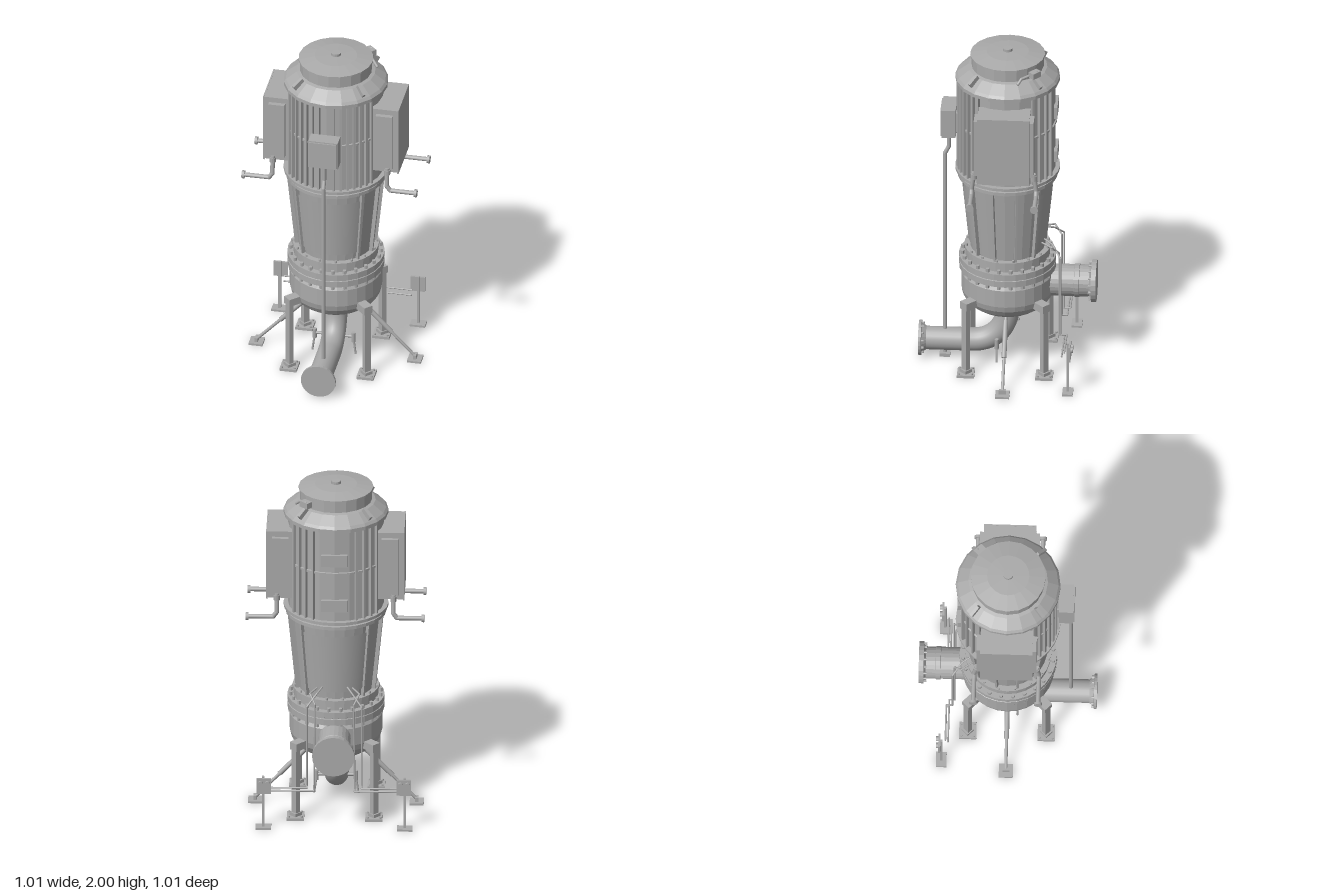
import * as THREE from 'three';

const steel = new THREE.MeshStandardMaterial({ color: 0xaaaaaa, flatShading: true });
steel.name = 'grey steel';
const smoothSteel = new THREE.MeshStandardMaterial({ color: 0xaaaaaa, side: THREE.DoubleSide });
smoothSteel.name = 'grey steel smooth';

const V = (x, y, z) => new THREE.Vector3(x, y, z);

export function createModel() {
  const root = new THREE.Group();
  root.name = 'verticalPumpUnit';

  function add(name, geo, x = 0, y = 0, z = 0, parent = root, mat = steel) {
    const m = new THREE.Mesh(geo, mat);
    m.name = name;
    m.position.set(x, y, z);
    parent.add(m);
    return m;
  }
  function group(name) {
    const g = new THREE.Group();
    g.name = name;
    root.add(g);
    return g;
  }
  const box = (name, w, h, d, x, y, z, p) => add(name, new THREE.BoxGeometry(w, h, d), x, y, z, p);
  const lathe = (name, pts, seg = 28, p = root) =>
    add(name, new THREE.LatheGeometry(pts.map(q => new THREE.Vector2(q[0], q[1])), seg), 0, 0, 0, p);

  // Round bar between two points
  function rod(name, a, b, r, p = root, seg = 10) {
    const m = add(name, new THREE.CylinderGeometry(r, r, a.distanceTo(b), seg), 0, 0, 0, p, smoothSteel);
    m.position.copy(a).add(b).multiplyScalar(0.5);
    m.quaternion.setFromUnitVectors(V(0, 1, 0), b.clone().sub(a).normalize());
    return m;
  }
  // Polyline pipe with ball joints at the bends
  function pipe(name, pts, r, p = root) {
    const g = new THREE.Group();
    g.name = name;
    p.add(g);
    for (let i = 1; i < pts.length; i++) {
      rod('pipeRun', pts[i - 1], pts[i], r, g);
      if (i < pts.length - 1) add('pipeBend', new THREE.SphereGeometry(r, 10, 8), ...pts[i].toArray(), g, smoothSteel);
    }
  }
  // Ring of bolts around the vertical axis
  function boltRing(name, n, radius, y, r, h) {
    const g = group(name);
    for (let i = 0; i < n; i++) {
      const a = ((i + 0.5) / n) * Math.PI * 2;
      add('bolt', new THREE.CylinderGeometry(r, r, h, 6), Math.sin(a) * radius, y, Math.cos(a) * radius, g);
    }
  }

  // Pump casing and main flange
  lathe('pumpBowl', [[0, 0.315], [0.08, 0.32], [0.14, 0.335], [0.19, 0.36], [0.23, 0.39], [0.253, 0.425], [0.262, 0.46], [0.262, 0.565], [0.25, 0.585], [0.25, 0.6]]);
  lathe('mainFlange', [[0.2, 0.597], [0.275, 0.597], [0.275, 0.634], [0.271, 0.636], [0.271, 0.642], [0.275, 0.644], [0.275, 0.677], [0.2, 0.677]]);
  boltRing('upperFlangeBolts', 24, 0.257, 0.685, 0.011, 0.026);
  boltRing('lowerFlangeBolts', 24, 0.26, 0.588, 0.011, 0.024);
  lathe('neck', [[0.24, 0.67], [0.24, 0.718], [0.245, 0.718], [0.245, 0.736], [0.2, 0.736]]);
  boltRing('neckBolts', 16, 0.234, 0.742, 0.007, 0.016);

  // Tapered lantern with ribs and curved covers
  const coneR = y => 0.212 + (y - 0.735) * 0.1;
  lathe('lantern', [[coneR(0.735), 0.735], [coneR(1.2), 1.2]]);
  const ribs = group('lanternRibs');
  for (let i = 0; i < 12; i++) {
    const a = (i + 0.5) / 12 * Math.PI * 2;
    if (Math.abs(Math.sin(a)) < 0.6) continue;
    const s = new THREE.Group();
    s.name = 'lanternRib';
    s.rotation.y = a;
    ribs.add(s);
    box('rib', 0.012, 0.46, 0.03, 0, 0.965, coneR(0.965) + 0.006, s).rotation.x = 0.1;
  }
  for (const a of [0, Math.PI]) {
    add('lanternCover', new THREE.CylinderGeometry(coneR(1.14) + 0.006, coneR(0.78) + 0.006, 0.36, 8, 1, true, a - 0.77, 1.54), 0, 0.96, 0, root, smoothSteel);
  }
  lathe('lanternFlange', [[0.2, 1.185], [0.285, 1.195], [0.285, 1.215], [0.272, 1.217], [0.272, 1.228], [0.297, 1.23], [0.297, 1.247], [0.2, 1.247]]);

  // Motor body with vertical fins, band and rear plates
  lathe('motorBody', [[0.272, 1.245], [0.272, 1.815]], 20);
  lathe('motorBand', [[0.265, 1.53], [0.28, 1.534], [0.28, 1.546], [0.265, 1.55]], 20);
  const fins = group('motorFins');
  for (const side of [-1, 1]) for (const deg of [9, 17, 25, 33, 41, 49, 57, 124, 134, 144, 154]) {
    const f = new THREE.Group();
    f.name = 'motorFin';
    f.rotation.y = side * deg * Math.PI / 180;
    fins.add(f);
    box('fin', 0.012, 0.56, 0.024, 0, 1.53, 0.277, f);
  }
  for (const y of [1.345, 1.625]) box('rearPlate', 0.15, 0.07, 0.02, 0, y, -0.276);

  // Motor hood, lid and lifting knob
  lathe('motorHood', [[0.2, 1.802], [0.297, 1.804], [0.297, 1.825], [0.285, 1.84], [0.225, 1.885], [0.205, 1.89], [0.205, 1.955]], 20);
  lathe('lid', [[0.19, 1.95], [0.212, 1.955], [0.212, 1.965], [0.12, 1.981], [0, 1.985]], 20);
  add('topKnob', new THREE.CylinderGeometry(0.028, 0.028, 0.025, 16), 0, 1.9875, 0);
  for (let i = 0; i < 4; i++) {
    const g = group('hoodLug');
    g.rotation.y = Math.PI / 4 + i * Math.PI / 2;
    box('lug', 0.018, 0.05, 0.07, 0, 1.867, 0.25, g).rotation.x = 0.6;
  }
  pipe('hoodVent', [V(0.17, 1.94, -0.18), V(0.15, 1.92, -0.16), V(0.2, 1.91, -0.09), V(0.225, 1.885, -0.07)], 0.008);
  box('ventBox', 0.06, 0.035, 0.04, 0.165, 1.925, -0.165).rotation.y = -0.75;

  // Side terminal boxes with end panels and cable outlets
  for (const s of [-1, 1]) {
    const g = group(s > 0 ? 'leftTerminalBox' : 'rightTerminalBox');
    box('case', 0.15, 0.41, 0.286, s * 0.315, 1.535, 0, g);
    box('caseCover', 0.008, 0.42, 0.296, s * 0.387, 1.535, 0, g);
    box('caseTop', 0.15, 0.008, 0.296, s * 0.315, 1.74, 0, g);
    for (const f of [-1, 1]) {
      box('endPanel', 0.094, 0.35, 0.026, s * 0.31, 1.535, f * 0.157, g);
      const z = f * 0.183;
      add('gland', new THREE.CylinderGeometry(0.018, 0.018, 0.03, 10), s * 0.33, 1.345, f * 0.17, g);
      pipe('cableOutlet', [V(s * 0.33, 1.37, f * 0.17), V(s * 0.33, 1.26, z), V(s * 0.35, 1.232, z), V(s * 0.5, 1.232, z)], 0.013, g);
      rod('outletFlange', V(s * 0.49, 1.232, z), V(s * 0.505, 1.232, z), 0.023, g, 14);
    }
  }

  // Front control box with cable conduit to the floor
  box('controlBox', 0.17, 0.175, 0.08, 0, 1.537, 0.33);
  box('controlBoxDoor', 0.155, 0.16, 0.008, 0, 1.537, 0.373);
  box('controlBoxMount', 0.12, 0.12, 0.04, 0, 1.537, 0.28);
  pipe('conduit', [V(0, 1.46, 0.333), V(0, 1.35, 0.333), V(0, 1.305, 0.355), V(0, 0.02, 0.355)], 0.012);
  box('conduitFoot', 0.06, 0.02, 0.06, 0, 0.01, 0.355);

  // Suction elbow, pointing forward
  const elbow = new THREE.CurvePath();
  elbow.add(new THREE.LineCurve3(V(0, 0.36, 0), V(0, 0.3, 0)));
  elbow.add(new THREE.CubicBezierCurve3(V(0, 0.3, 0), V(0, 0.19, 0.01), V(0, 0.105, 0.08), V(0, 0.105, 0.2)));
  elbow.add(new THREE.LineCurve3(V(0, 0.105, 0.2), V(0, 0.105, 0.49)));
  add('suctionElbow', new THREE.TubeGeometry(elbow, 40, 0.067, 20), 0, 0, 0, root, smoothSteel);
  const suction = group('suctionFlange');
  suction.position.set(0, 0.105, 0);
  suction.rotation.x = Math.PI / 2;
  lathe('flange', [[0.067, 0.46], [0.085, 0.485], [0.1, 0.487], [0.1, 0.503], [0, 0.503]], 24, suction);

  // Discharge pipe, pointing backward
  const discharge = group('dischargePipe');
  discharge.position.set(0, 0.508, 0);
  discharge.rotation.x = -Math.PI / 2;
  lathe('pipe', [[0.091, 0.18], [0.091, 0.38], [0.095, 0.382], [0.095, 0.408], [0.091, 0.41], [0.091, 0.465], [0.108, 0.475], [0.12, 0.477], [0.12, 0.505], [0, 0.505]], 24, discharge);
  for (const [g, r, y, n] of [[suction, 0.085, 0.48, 12], [discharge, 0.107, 0.469, 16]]) {
    for (let i = 0; i < n; i++) {
      const a = (i + 0.5) / n * Math.PI * 2;
      add('flangeBolt', new THREE.CylinderGeometry(0.007, 0.007, 0.016, 6), Math.sin(a) * r, y, Math.cos(a) * r, g);
    }
  }

  // Four legs, brackets and anchored foot plates
  for (const sx of [-1, 1]) for (const sz of [-1, 1]) {
    const g = group('leg');
    const x = sx * 0.222, z = sz * 0.222;
    box('footPlate', 0.098, 0.016, 0.098, x, 0.008, z, g);
    const turn = sx * sz * Math.PI / 4;
    box('footBlock', 0.05, 0.03, 0.05, x, 0.02, z, g).rotation.y = turn;
    box('post', 0.038, 0.43, 0.03, x, 0.225, z, g).rotation.y = turn;
    box('bracket', 0.055, 0.046, 0.1, sx * 0.2, 0.445, sz * 0.2, g).rotation.y = turn;
    for (const i of [-1, 1]) for (const j of [-1, 1]) {
      add('anchorBolt', new THREE.CylinderGeometry(0.006, 0.006, 0.01, 8), x + i * 0.036, 0.02, z + j * 0.036, g);
    }
  }

  for (const s of [-1, 1]) {
    // Diagonal side strut
    const g = group('strut');
    rod('strutRod', V(s * 0.14, 0.36, 0), V(s * 0.46, 0.02, 0), 0.009, g);
    rod('strutSleeve', V(s * 0.17, 0.328, 0), V(s * 0.32, 0.169, 0), 0.014, g);
    box('strutPlate', 0.08, 0.012, 0.08, s * 0.457, 0.006, 0, g);
    box('strutShoe', 0.018, 0.03, 0.04, s * 0.457, 0.022, 0, g);

    // Gauge stand
    const k = group('gaugeStand');
    box('standFoot', 0.088, 0.012, 0.06, s * 0.4, 0.006, -0.367, k);
    box('standPost', 0.015, 0.31, 0.015, s * 0.4, 0.165, -0.367, k);
    box('gaugePanel', 0.082, 0.095, 0.012, s * 0.396, 0.265, -0.378, k);
    for (const i of [-1, 1]) {
      rod('gauge', V(s * 0.396 + i * 0.02, 0.285, -0.38), V(s * 0.396 + i * 0.02, 0.285, -0.397), 0.015, k);
    }

    // Twin sensing lines from the lantern to the gauge stand
    pipe('sensingLineLow', [V(s * 0.1, 0.8, -0.2), V(s * 0.14, 0.79, -0.26), V(s * 0.11, 0.74, -0.3), V(s * 0.115, 0.215, -0.3), V(s * 0.115, 0.215, -0.33), V(s * 0.37, 0.215, -0.33)], 0.005);
    pipe('sensingLineHigh', [V(s * 0.07, 0.81, -0.21), V(s * 0.1, 0.79, -0.26), V(s * 0.155, 0.73, -0.31), V(s * 0.155, 0.24, -0.31), V(s * 0.155, 0.24, -0.345), V(s * 0.37, 0.24, -0.345)], 0.005);

    // Drain valve beside the elbow
    const d = group('drainValve');
    rod('valveBranch', V(s * 0.04, 0.145, 0.055), V(s * 0.115, 0.145, 0.055), 0.009, d);
    rod('valveBody', V(s * 0.112, 0.17, 0.055), V(s * 0.112, 0.11, 0.055), 0.012, d);
    rod('drainTube', V(s * 0.113, 0.12, 0.055), V(s * 0.125, 0.03, 0.055), 0.006, d);
  }
  return root;
}
